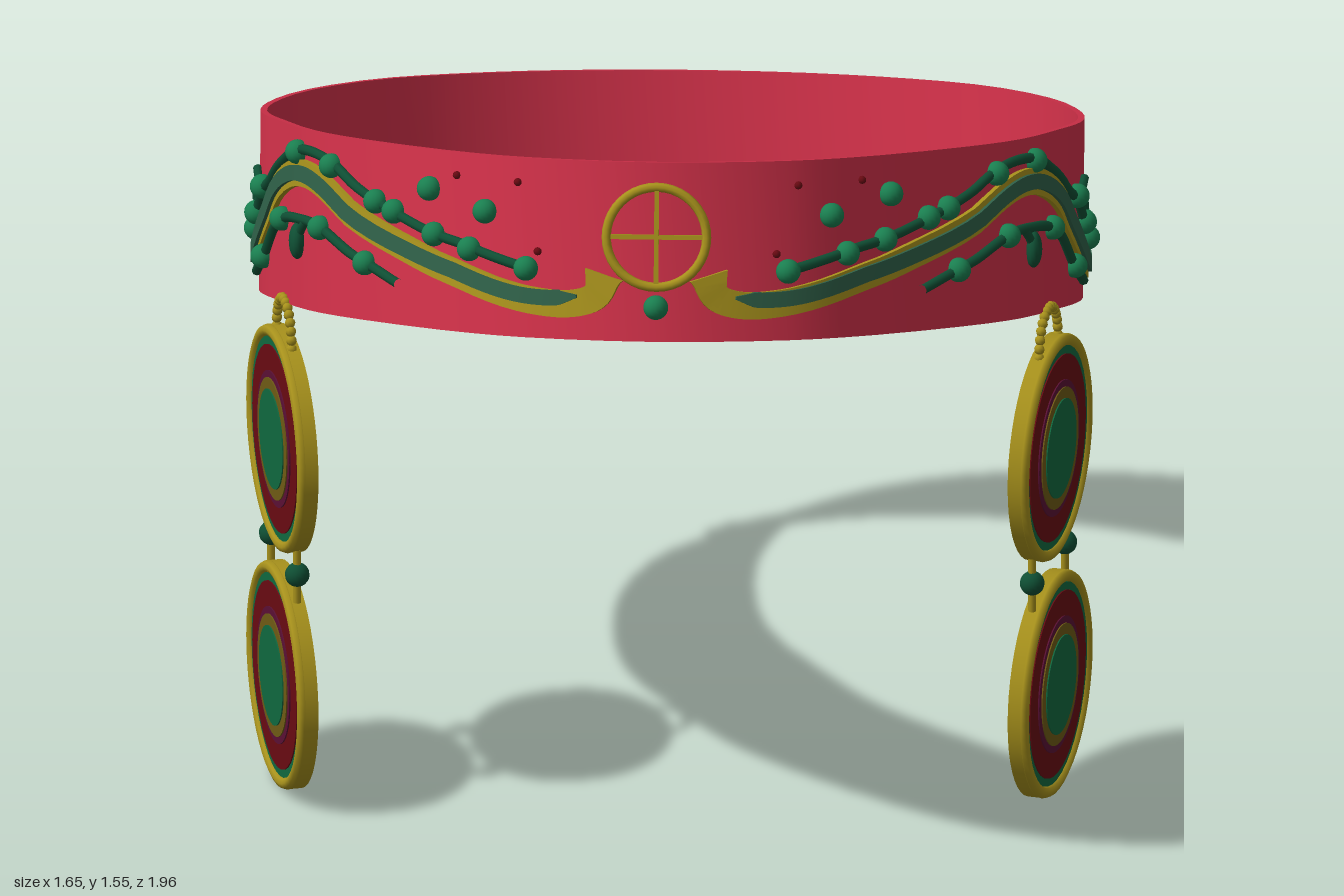
import * as THREE from 'three';
import { toCreasedNormals } from 'three/addons/utils/BufferGeometryUtils.js';

const mat = (name, color) => {
  const m = new THREE.MeshStandardMaterial({ color });
  m.name = name;
  return m;
};

// Band frame: tilted about x, so local y runs up the band and local z to the front
const TILT = 0.302, SIN = Math.sin(TILT), COS = Math.cos(TILT);
const YC = 1.095, ZC = -0.018, HEIGHT = 0.348;

// Half outline of the band from front centre to back centre, then mirrored
const HALF = [[0, 0.965], [0.24, 0.905], [0.385, 0.80], [0.60, 0.54], [0.69, 0.38], [0.755, 0.17], [0.782, 0.07],
  [0.795, -0.03], [0.785, -0.2], [0.72, -0.47], [0.58, -0.723], [0.41, -0.859], [0.22, -0.942], [0, -0.972]];
const LOOP = [...HALF, ...HALF.slice(1, -1).reverse().map(([x, z]) => [-x, z])];
const outline = new THREE.CatmullRomCurve3(LOOP.map(([x, z]) => new THREE.Vector3(x, 0, z)), true);

function bisect(test, a, b) {
  for (let i = 0; i < 30; i++) {
    const m = (a + b) / 2;
    if (test(outline.getPoint(m))) a = m; else b = m;
  }
  return (a + b) / 2;
}
// Turn a front position (x, y) or a side position (z, y) into [outline parameter, height]
function front(x, y) {
  const t = bisect(p => p.x < x, 0, 7 / 26);
  return [t, (y - YC - outline.getPoint(t).z * SIN) / COS];
}
function side(z, y) {
  const w = (z - ZC) * COS + (y - YC) * SIN;
  return [bisect(p => p.z > w, 0, 0.5), (y - YC) * COS - (z - ZC) * SIN];
}
// Point and outward normal on the band; m = 1 for left, -1 for right
function at([t, v], lift, m) {
  const p = outline.getPoint(t), d = outline.getTangent(t);
  const n = new THREE.Vector3(-d.z * m, 0, d.x);
  return { p: new THREE.Vector3(p.x * m, v, p.z).addScaledVector(n, lift), n };
}
function samplePath(path, count) {
  const c = new THREE.CatmullRomCurve3(path.map(([t, v]) => new THREE.Vector3(t * 5.5, v, 0)));
  return c.getPoints(count).map(p => [Math.max(0, p.x / 5.5), p.y]);
}
// Flat strip that follows the band, width(k) for k from 0 to 1
function ribbon(path, width, height, m, count = 110) {
  const pts = samplePath(path, count).map(q => at(q, -0.003, m));
  const pos = [], idx = [];
  pts.forEach(({ p, n }, i) => {
    const T = pts[Math.min(i + 1, count)].p.clone().sub(pts[Math.max(i - 1, 0)].p).normalize();
    const S = T.cross(n).normalize(), w = width(i / count) / 2;
    for (const [s, h] of [[-w, 0], [w, 0], [w, height], [-w, height]])
      pos.push(...p.clone().addScaledVector(S, s).addScaledVector(n, h).toArray());
    if (i < count) for (let k = 0; k < 4; k++) {
      const a = i * 4 + k, b = i * 4 + (k + 1) % 4;
      idx.push(a, b + 4, b, a, a + 4, b + 4);
    }
  });
  const e = count * 4;
  idx.push(0, 1, 2, 0, 2, 3, e, e + 2, e + 1, e, e + 3, e + 2);
  const g = new THREE.BufferGeometry();
  g.setAttribute('position', new THREE.Float32BufferAttribute(pos, 3));
  g.setIndex(idx);
  return toCreasedNormals(g, 0.7);
}
function vine(path, r, m, count = 50) {
  const c = new THREE.CatmullRomCurve3(samplePath(path, count).map(q => at(q, 0.006, m).p));
  return new THREE.TubeGeometry(c, count, r, 8);
}

export function createModel() {
  const M = {
    crimson: mat('crimson', 0xcf3048), gold: mat('gold', 0xa8921c), cord: mat('cord green', 0x2f6048),
    vine: mat('vine green', 0x0f4f34), bead: mat('bead green', 0x1a7f50), core: mat('core green', 0x10683f),
    red: mat('dark red', 0x680a12), plum: mat('plum', 0x5a1034), olive: mat('olive', 0x6e5a14), ivory: mat('ivory', 0xbcb896),
  };
  const model = new THREE.Group();
  model.name = 'headband';
  const add = (parent, name, geo, material, pos) => {
    const mesh = new THREE.Mesh(geo, material);
    mesh.name = name;
    if (pos) mesh.position.copy(pos);
    parent.add(mesh);
    return mesh;
  };

  const band = new THREE.Group();
  band.name = 'band';
  band.position.set(0, YC, ZC);
  band.rotation.x = -TILT;
  model.add(band);

  // Band wall: thin ring extruded upward
  const ring = [...Array(72).keys()].map(i => outline.getPoint(i / 72));
  const shape = new THREE.Shape(ring.map(p => new THREE.Vector2(p.x, -p.z)));
  shape.holes.push(new THREE.Path(ring.map(p => new THREE.Vector2(p.x * 0.984, -p.z * 0.984))));
  const wall = new THREE.ExtrudeGeometry(shape, { depth: HEIGHT, bevelEnabled: false });
  wall.rotateX(-Math.PI / 2).translate(0, -HEIGHT / 2, 0);
  add(band, 'bandWall', toCreasedNormals(wall, 0.6), M.crimson);

  // Front rosette: ring with a cross
  const rosette = new THREE.Group();
  rosette.name = 'rosette';
  rosette.position.set(0, front(0, 1.41)[1], 0.968);
  band.add(rosette);
  add(rosette, 'rosetteRing', new THREE.TorusGeometry(0.097, 0.009, 8, 40), M.gold);
  add(rosette, 'rosetteBarUpright', new THREE.BoxGeometry(0.009, 0.19, 0.012), M.gold);
  add(rosette, 'rosetteBarLevel', new THREE.BoxGeometry(0.19, 0.009, 0.012), M.gold, new THREE.Vector3(0, 0, -0.004));

  const ball = new THREE.SphereGeometry(0.024, 16, 12);
  add(band, 'frontBead', ball, M.bead, at(front(0, 1.28), 0.005, 1).p);

  // Winding cord along the side to the back
  const cordSide = [[0.6, 1.278], [0.4, 1.30], [0.3, 1.288], [0.2, 1.235], [0.1, 1.12], [0, 1.0], [-0.1, 0.955], [-0.2, 0.955],
    [-0.4, 0.988], [-0.5, 0.988], [-0.6, 0.95], [-0.7, 0.87], [-0.8, 0.76], [-0.88, 0.72], [-0.935, 0.78], [-0.973, 0.87]]
    .map(q => side(...q));
  const goldPath = [[0.1, 1.335], [0.115, 1.295], [0.16, 1.275], [0.25, 1.268], [0.4, 1.275]].map(q => front(...q)).concat(cordSide);
  const greenPath = [[0.15, 1.29], [0.2, 1.28], [0.28, 1.275], [0.4, 1.28]].map(q => front(...q)).concat(cordSide);

  // Vines, twigs and beads
  const upper = [[0.24, 1.325], [0.36, 1.333]].map(q => front(...q)).concat(
    [[0.69, 1.33], [0.55, 1.335], [0.41, 1.355], [0.27, 1.325], [0.18, 1.265], [0.1, 1.19], [0.04, 1.14], [0, 1.08]].map(q => side(...q)));
  const lower = [[0.65, 1.205], [0.56, 1.21], [0.41, 1.22], [0.32, 1.20], [0.21, 1.155], [0.1, 1.03], [0.03, 0.97]].map(q => side(...q));
  const twigs = [
    [[0.08, 1.17], [0.03, 1.145], [-0.03, 1.16]], [[0.03, 1.14], [-0.01, 1.13], [-0.02, 1.10]],
    [[-0.21, 0.995], [-0.245, 1.02], [-0.25, 1.065]], [[-0.23, 1.01], [-0.28, 1.02], [-0.32, 1.01]],
    [[0.35, 1.21], [0.33, 1.18], [0.32, 1.15]],
  ];
  const beads = [[0.25, 1.325], [0.36, 1.33], [0.43, 1.33], [0.51, 1.335], [0.33, 1.41], [0.44, 1.41]].map(q => front(...q)).concat(
    [[0.55, 1.335], [0.41, 1.35], [0.27, 1.32], [0.05, 1.155], [0, 1.08], [-0.09, 1.01], [-0.21, 0.995], [-0.32, 0.915], [-0.47, 0.94],
      [-0.61, 0.92], [-0.71, 0.84], [-0.77, 0.745], [0.56, 1.21], [0.41, 1.22], [0.21, 1.155], [0.1, 1.03]].map(q => side(...q)));
  const studs = [[0.23, 1.36], [0.27, 1.48], [0.39, 1.455], [0.24, 1.33]].map(q => front(...q));

  // Pendant face rings, from large to small
  const faceRings = [[0.2, 'core'], [0.184, 'red'], [0.134, 'plum'], [0.12, 'olive'], [0.098, 'core']];

  for (const m of [1, -1]) {
    const tag = m > 0 ? 'left' : 'right';
    add(band, tag + 'CordEdge', ribbon(goldPath, k => 0.052 + 0.025 * Math.exp(-k * 40), 0.013, m), M.gold);
    add(band, tag + 'CordCentre', ribbon(greenPath, k => 0.03 * Math.min(1, 0.2 + k * 20), 0.02, m), M.cord);
    add(band, tag + 'UpperVine', vine(upper, 0.01, m), M.vine);
    add(band, tag + 'LowerVine', vine(lower, 0.01, m), M.vine);
    twigs.forEach(w => add(band, tag + 'Twig', vine(w.map(q => side(...q)), 0.009, m, 10), M.vine));
    beads.forEach(q => add(band, tag + 'Bead', ball, M.bead, at(q, 0.008, m).p));
    studs.forEach(q => add(band, tag + 'Stud', new THREE.SphereGeometry(0.008, 8, 6), M.red, at(q, 0.002, m).p));
    add(band, tag + 'Leaf', ball, M.vine, at(side(0.32, 1.155), 0.006, m).p).scale.set(0.7, 1.5, 1.1);

    // Hanging pendant: loop, two discs, linking beads
    const pendant = new THREE.Group();
    pendant.name = tag + 'Pendant';
    pendant.position.set(0.738 * m, 0, 0.268);
    pendant.rotation.y = m > 0 ? -0.265 : Math.PI + 0.265;
    model.add(pendant);
    for (const y of [0.72, 0.226]) {
      const disc = new THREE.Group();
      disc.name = 'pendantDisc';
      disc.position.y = y;
      disc.rotation.z = -Math.PI / 2;
      pendant.add(disc);
      add(disc, 'discBody', new THREE.CylinderGeometry(0.222, 0.222, 0.03, 48), [M.gold, M.gold, M.ivory]);
      const rim = new THREE.TorusGeometry(0.211, 0.012, 8, 48).rotateX(Math.PI / 2);
      add(disc, 'discRim', rim, M.gold, new THREE.Vector3(0, 0.013, 0));
      faceRings.forEach(([r, key], i) =>
        add(disc, 'discRing', new THREE.CylinderGeometry(r, r, 0.004, 40), M[key], new THREE.Vector3(0, 0.015 + i * 0.0025, 0)));
    }
    for (const z of [-0.108, 0.108]) {
      add(pendant, 'linkBead', ball, M.vine, new THREE.Vector3(0, 0.478, z));
      add(pendant, 'linkWire', new THREE.CylinderGeometry(0.008, 0.008, 0.11, 8), M.gold, new THREE.Vector3(0, 0.475, z));
    }
    for (let i = 0; i <= 14; i++) {
      const a = Math.PI * i / 14;
      add(pendant, 'loopBead', new THREE.SphereGeometry(0.0105, 8, 6), M.gold,
        new THREE.Vector3(0, 0.93 + 0.08 * Math.sin(a), 0.062 * Math.cos(a)));
    }
  }
  return model;
}
